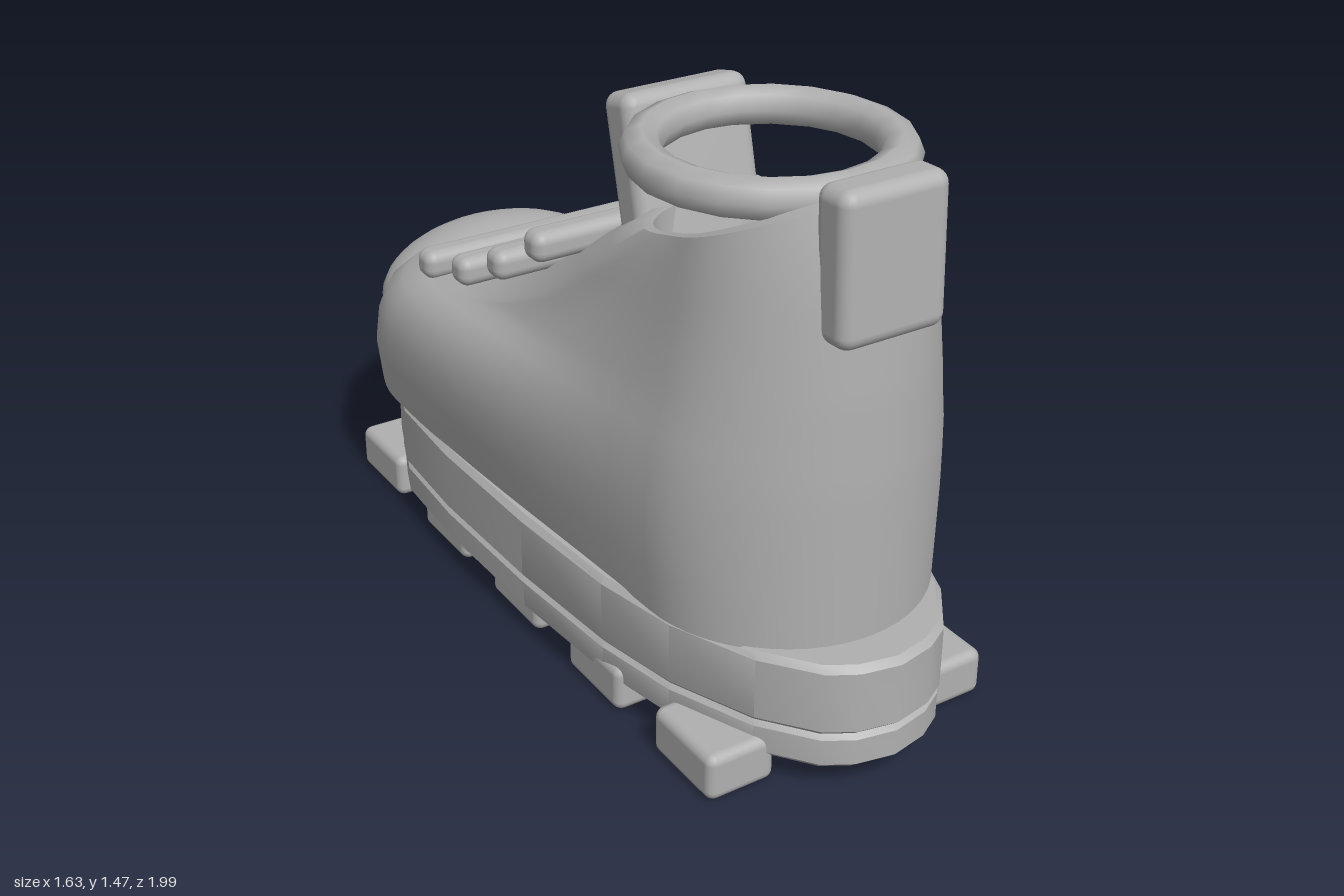
import * as THREE from 'three';
import { toCreasedNormals } from 'three/addons/utils/BufferGeometryUtils.js';
import { RoundedBoxGeometry } from 'three/addons/geometries/RoundedBoxGeometry.js';

// Skin a stack of closed rings; each ring starts at the heel and is mirrored in x.
function loft(rings, crease) {
  const n = rings[0].length, idx = [];
  for (let k = 0; k < rings.length - 1; k++) {
    for (let i = 0; i < n; i++) {
      const a = k * n + i, b = k * n + (i + 1) % n;
      idx.push(a, a + n, b + n, a, b + n, b);
    }
  }
  // caps are strips joining the right side to the left side
  const top = (rings.length - 1) * n;
  for (let i = 0; i < n / 2; i++) {
    const l = (n - i) % n, l2 = n - i - 1;
    idx.push(i, i + 1, l2, i, l2, l);
    idx.push(top + i, top + l2, top + i + 1, top + i, top + l, top + l2);
  }
  const g = new THREE.BufferGeometry();
  g.setAttribute('position', new THREE.Float32BufferAttribute(rings.flat(2), 3));
  g.setIndex(idx);
  return toCreasedNormals(g, crease);
}

function mirrorRing(half, yAt) {
  const right = half.map(([x, t]) => [x, yAt(t, x), t]);
  const left = half.slice(1, -1).reverse().map(([x, t]) => [-x, yAt(t, -x), t]);
  return [...right, ...left];
}

// Oval shoe section: round ends, sloping height with a sag, sides swelling by belly.
function oval([yf, tf, yb, tb, wf, wb, belly, sag]) {
  const N = 14, M = 8, half = [];
  const rf = Math.min(wf, (tf - tb) / 2), rb = Math.min(wb, (tf - tb) / 2);
  const along = t => (t - tb) / (tf - tb);
  const point = (side, w, t) => half.push([side * (w + belly * Math.sin(Math.PI * along(t))), t]);
  for (let i = 0; i <= N; i++) {
    const a = (i / N) * Math.PI / 2;
    point(Math.sin(a), wb, tb + rb - rb * Math.cos(a));
  }
  for (let i = 1; i < M; i++) {
    const s = i / M;
    point(1, wb + (wf - wb) * s * s * (3 - 2 * s), tb + rb + (tf - rf - tb - rb) * s);
  }
  for (let i = 0; i <= N; i++) {
    const a = (i / N) * Math.PI / 2;
    point(Math.cos(a), wf, tf - rf + rf * Math.sin(a));
  }
  return mirrorRing(half, t => yb + (yf - yb) * along(t) - sag * 4 * along(t) * (1 - along(t)));
}

// Slab with small bevels; rise0 and rise1 lift the toe of its underside and top,
// along a slanted line across the sole.
function slab(outline, y0, y1, rise0, rise1, inset) {
  const layer = (y, rise, d) => mirrorRing(
    outline.map(([x, t]) => [x * (1 - d * 2), t * (1 - d)]),
    (t, x) => y + rise * THREE.MathUtils.clamp((0.855 * t - 0.52 * x - 0.67) / 0.32, 0, 1));
  const b = 0.016;
  return loft([
    layer(y0, rise0, inset + b), layer(y0 + b, rise0, inset),
    layer(y1 - b, rise1, inset), layer(y1, rise1, inset + b),
  ], 0.7);
}

export function createModel() {
  const model = new THREE.Group();
  model.name = 'boot';
  const boot = new THREE.Group();
  boot.name = 'turnedBoot';
  boot.rotation.y = Math.PI + 0.547;
  model.add(boot);

  const grey = new THREE.MeshStandardMaterial({ color: 0xb0b0b0 });
  grey.name = 'grey';
  const add = (name, geo, x = 0, y = 0, z = 0) => {
    const m = new THREE.Mesh(geo, grey);
    m.name = name;
    m.position.set(x, y, z);
    boot.add(m);
    return m;
  };

  // Upper: front height, front end, back height, back end, front width, back width, belly, sag
  const sections = [
    [0.35, 1.04, 0.35, -0.98, 0.405, 0.36, 0.025, 0],
    [0.48, 1.04, 0.48, -0.98, 0.415, 0.36, 0.045, 0],
    [0.57, 1.01, 0.60, -0.98, 0.41, 0.36, 0.06, 0],
    [0.645, 0.96, 0.70, -0.98, 0.395, 0.355, 0.065, 0],
    [0.692, 0.89, 0.79, -0.98, 0.37, 0.35, 0.06, 0],
    [0.718, 0.79, 0.86, -0.975, 0.34, 0.345, 0.05, 0],
    [0.732, 0.62, 0.93, -0.975, 0.315, 0.335, 0.042, 0],
    [0.775, 0.44, 1.00, -0.97, 0.31, 0.33, 0.03, 0],
    [0.86, 0.24, 1.08, -0.965, 0.305, 0.325, 0.015, 0],
    [1.00, 0.04, 1.20, -0.955, 0.295, 0.315, 0, 0.01],
    [1.10, -0.10, 1.31, -0.945, 0.285, 0.30, 0, 0.025],
    [1.18, -0.22, 1.42, -0.92, 0.265, 0.28, 0, 0.04],
    // rim and hollow inside
    [1.18, -0.25, 1.42, -0.88, 0.24, 0.255, 0, 0.04],
    [1.08, -0.26, 1.22, -0.87, 0.23, 0.245, 0, 0.03],
    [1.02, -0.28, 1.10, -0.85, 0.22, 0.23, 0, 0.02],
  ];
  add('upper', loft(sections.map(oval), 0.9));

  // Toe cap
  const cap = add('toeCap', new THREE.SphereGeometry(1, 32, 20), 0, 0.562, 0.772);
  cap.scale.set(0.36, 0.186, 0.268);

  // Soles with an undercut toe, and the toe bumper above them
  const soleOutline = [[0, -1.09], [0.1, -1.07], [0.17, -1.03], [0.27, -0.9], [0.36, -0.68], [0.405, -0.45],
    [0.43, -0.1], [0.437, 0.3], [0.42, 0.58], [0.35, 0.76], [0.25, 0.94], [0.17, 1.07], [0, 1.167]];
  add('midsole', slab(soleOutline, 0.165, 0.355, 0.155, 0, 0));
  add('outsole', slab(soleOutline, 0.07, 0.17, 0.19, 0.165, 0.004));
  const bumperOutline = [[0, 0.8], [0.17, 0.82], [0.17, 1.07], [0, 1.167]];
  add('toeBumper', slab(bumperOutline, 0.3, 0.54, 0, 0, 0));

  // Tread blocks
  for (const t of [-0.8, -0.4, 0, 0.4, 0.8]) {
    for (const s of [-1, 1]) {
      add('treadBlock', new RoundedBoxGeometry(0.185, 0.125, 0.245, 3, 0.025), s * 0.312, 0.0625, t);
    }
  }

  // Laces
  [[0.772, 0.567], [0.83, 0.367], [0.925, 0.168], [1.05, -0.032]].forEach(([y, t]) => {
    add('lace', new RoundedBoxGeometry(0.7, 0.08, 0.08, 4, 0.03), 0, y, t);
  });

  // Tongue leaning towards the toe
  const tongue = add('tongue', new RoundedBoxGeometry(0.35, 0.45, 0.12, 3, 0.035), 0, 1.22, -0.19);
  tongue.rotation.x = 0.24;

  // Collar ring and heel tab
  add('collarRing', new THREE.TorusGeometry(0.292, 0.05, 8, 20), 0, 1.395, -0.53).rotation.x = Math.PI / 2;
  add('heelTab', new RoundedBoxGeometry(0.285, 0.36, 0.115, 3, 0.035), 0, 1.29, -0.937).rotation.x = 0.04;

  return model;
}
